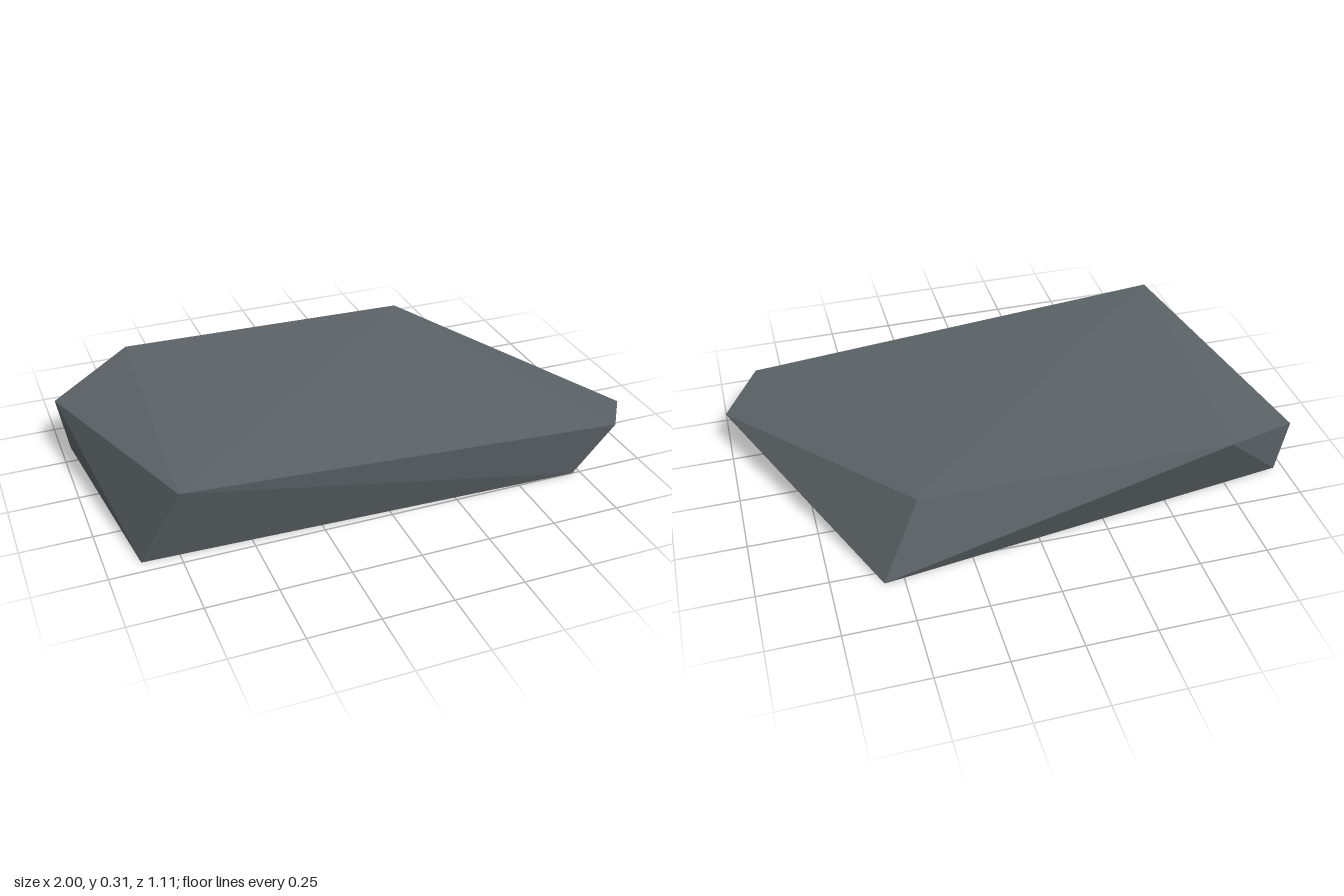
import * as THREE from 'three';
import { ConvexGeometry } from 'three/addons/geometries/ConvexGeometry.js';

export function createModel() {
  const stone = new THREE.MeshStandardMaterial({ color: 0x5c6367, flatShading: true });
  stone.name = 'slate grey stone';

  // Flat base the slab rests on
  const base = [
    [-0.88, 0, 0.45], [0.72, 0, 0.5], [0.57, 0, -0.555], [-0.965, 0, -0.345],
  ];
  // Bevelled corners jutting out at mid height
  const shoulders = [
    [-1, 0.21, -0.35], [1, 0.155, 0.33], [0.86, 0.195, 0.53],
  ];
  // Gently sloping top
  const crown = [
    [-0.76, 0.31, 0.555], [-0.69, 0.3, -0.51], [0.43, 0.29, -0.49],
  ];

  const corners = [...base, ...shoulders, ...crown].map((p) => new THREE.Vector3(...p));
  const slab = new THREE.Mesh(new ConvexGeometry(corners), stone);
  slab.name = 'rockSlab';

  const group = new THREE.Group();
  group.name = 'flatRock';
  group.add(slab);
  return group;
}
